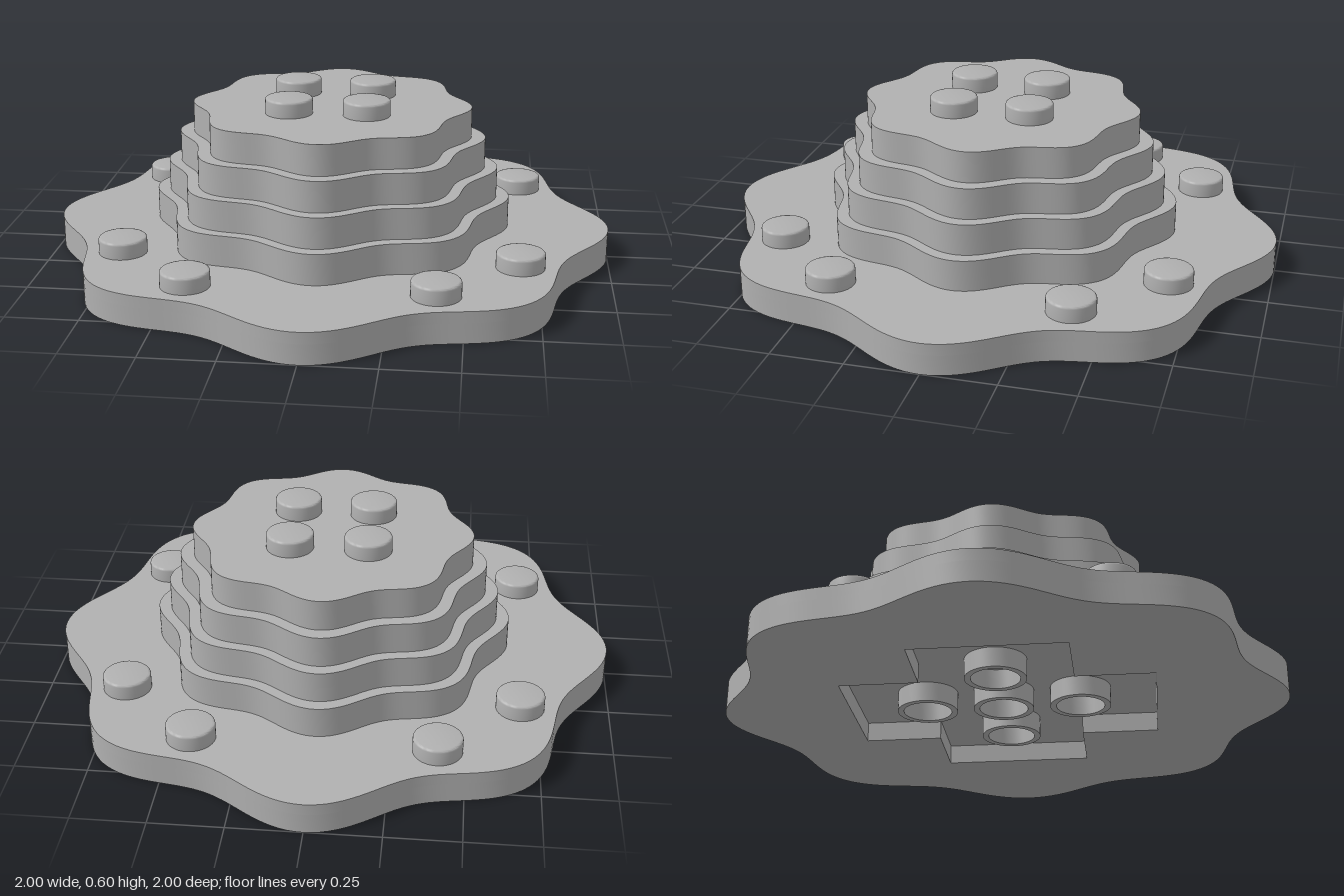
import * as THREE from 'three';
import { toCreasedNormals } from 'three/addons/utils/BufferGeometryUtils.js';

const PITCH = 0.272;      // stud spacing
const BASE_TOP = 0.11;
const CEILING = 0.07;     // depth of the recess underneath
const TIER = 0.1093;      // height of one tier

export function createModel() {
  const model = new THREE.Group();
  const grey = new THREE.MeshStandardMaterial({ color: 0xb0b0b0 });
  grey.name = 'grey';

  const add = (geometry, name, x = 0, y = 0, z = 0) => {
    const mesh = new THREE.Mesh(geometry, grey);
    mesh.name = name;
    mesh.position.set(x, y, z);
    model.add(mesh);
  };

  // Wavy outline with eight lobes
  const wavyShape = (radius) => {
    const points = [];
    for (let i = 0; i < 240; i++) {
      const a = (i / 240) * Math.PI * 2;
      const r = radius * (0.949 + 0.051 * Math.cos(8 * a));
      points.push(new THREE.Vector2(r * Math.cos(a), r * Math.sin(a)));
    }
    return new THREE.Shape(points);
  };

  const slab = (shape, height) => {
    const geometry = new THREE.ExtrudeGeometry(shape, { depth: height, bevelEnabled: false });
    geometry.rotateX(-Math.PI / 2);
    return toCreasedNormals(geometry, 0.6);
  };

  const lathe = (profile) => toCreasedNormals(
    new THREE.LatheGeometry(profile.map(([r, y]) => new THREE.Vector2(r, y)), 48), 0.6);

  // Base: lower ring with a cross-shaped recess, upper plate closing it
  const a = 0.265, b = 0.54;
  const cross = [[b, a], [a, a], [a, b], [-a, b], [-a, a], [-b, a],
    [-b, -a], [-a, -a], [-a, -b], [a, -b], [a, -a], [b, -a]];
  const lower = wavyShape(1);
  lower.holes.push(new THREE.Path(cross.map(([x, y]) => new THREE.Vector2(x, y))));
  add(slab(lower, CEILING), 'baseLower');
  add(slab(wavyShape(1), BASE_TOP - CEILING), 'baseUpper', 0, CEILING);

  // Stacked tiers, each smaller than the one below
  [0.64, 0.595, 0.55, 0.5].forEach((radius, i) =>
    add(slab(wavyShape(radius), TIER), `tier${i + 1}`, 0, BASE_TOP + i * TIER));

  // Studs with a softly rounded top edge
  const stud = lathe([[0.083, 0], [0.083, 0.048], [0.082, 0.053], [0.079, 0.056], [0.074, 0.057], [0, 0.057]]);
  const top = BASE_TOP + 4 * TIER;
  for (const sx of [-1, 1]) {
    for (const sz of [-1, 1]) {
      add(stud, 'topStud', sx * PITCH / 2, top, sz * PITCH / 2);
      add(stud, 'baseStud', sx * PITCH * 1.5, BASE_TOP, sz * PITCH * 2.5);
      add(stud, 'baseStud', sx * PITCH * 2.5, BASE_TOP, sz * PITCH * 1.5);
    }
  }

  // Hollow tubes inside the recess
  const tube = lathe([[0.085, CEILING], [0.085, 0], [0.107, 0], [0.107, CEILING]]);
  for (const [x, z] of [[0, 0], [1, 0], [-1, 0], [0, 1], [0, -1]])
    add(tube, 'undersideTube', x * PITCH, 0, z * PITCH);

  return model;
}
